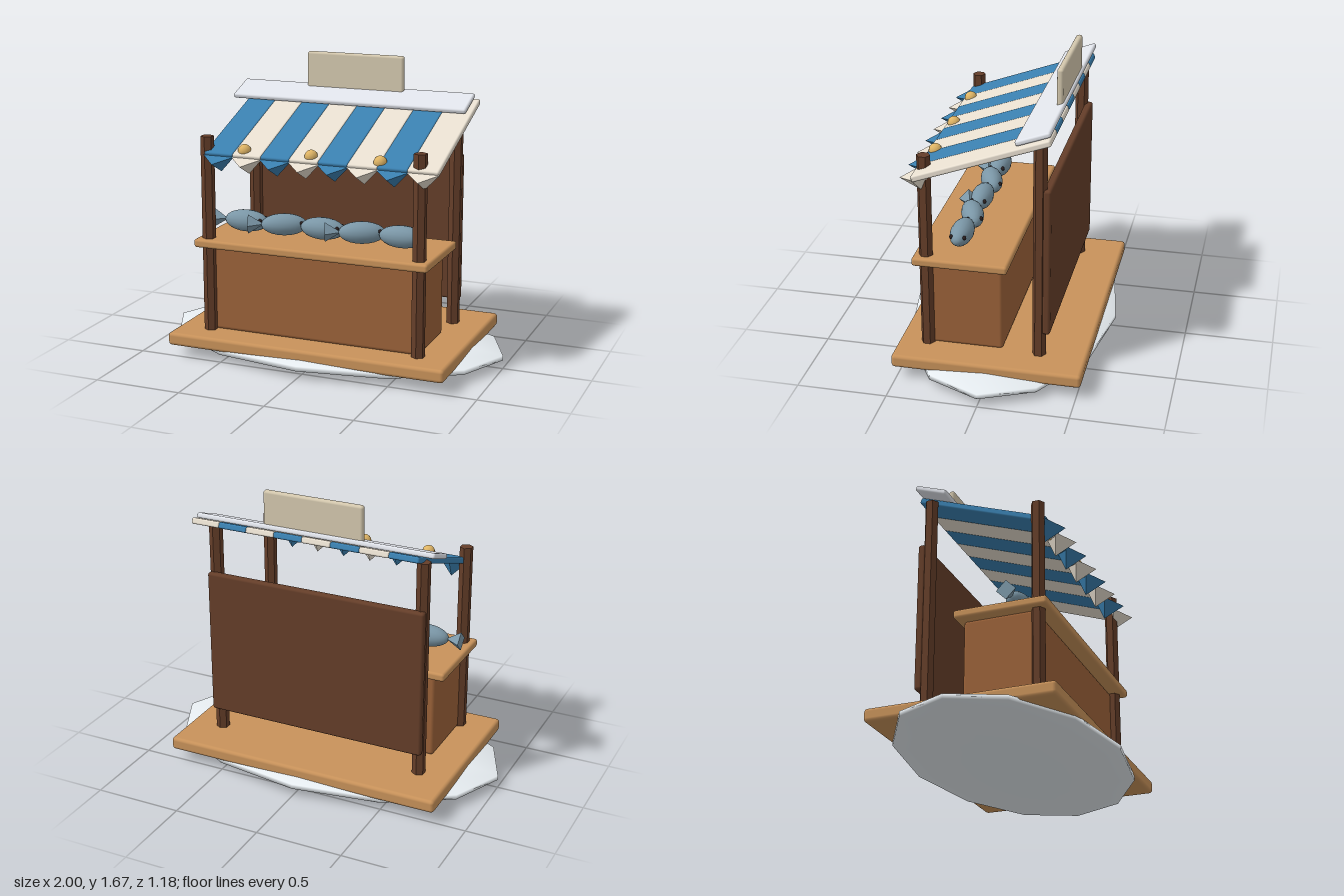
import * as THREE from 'three';
import { RoundedBoxGeometry } from 'three/addons/geometries/RoundedBoxGeometry.js';

const mat = (color, flatShading = false) => new THREE.MeshStandardMaterial({ color, flatShading });
const tan = mat(0xc8925a), wood = mat(0x9b6239), darkWood = mat(0x653e29), post = mat(0x653e29, true);
const blue = mat(0x3a80b0), cream = mat(0xe8dfd0), snow = mat(0xe6ecf0), board = mat(0xd4c8ae);
const blueFlat = mat(0x3a80b0, true), creamFlat = mat(0xe8dfd0, true), capGrey = mat(0xe0e3ea);
const gold = mat(0xe0b565), scales = mat(0x7b97a7), fin = mat(0x7b97a7, true), black = mat(0x2a2020);

function add(parent, name, geometry, material, x = 0, y = 0, z = 0) {
  const mesh = new THREE.Mesh(geometry, material);
  mesh.name = name;
  mesh.position.set(x, y, z);
  parent.add(mesh);
  return mesh;
}

const box = (w, h, d, r) => new RoundedBoxGeometry(w, h, d, 2, r);

// Fish lying along x, head towards +x
function createFish() {
  const fish = new THREE.Group();
  fish.name = 'fish';
  add(fish, 'fishBody', new THREE.SphereGeometry(1, 16, 12).rotateZ(Math.PI / 2), scales).scale.set(0.13, 0.063, 0.063);
  add(fish, 'fishTail', new THREE.ConeGeometry(0.056, 0.09, 4).rotateZ(-Math.PI / 2), fin, -0.16);
  for (const s of [-1, 1]) add(fish, 'fishEye', new THREE.SphereGeometry(0.012, 8, 6), black, 0.1, 0.015, s * 0.036);
  return fish;
}

// Sloped awning: stripes, pointed valance and ridge cap share one tilt
function createAwning() {
  const awning = new THREE.Group();
  awning.name = 'awning';
  awning.position.set(0, 1.3, 0.035);
  awning.rotation.x = 0.35;
  const pitch = 0.1695;
  for (let i = 0; i < 8; i++) {
    const x = -0.537 + i * pitch, odd = i % 2;
    add(awning, 'awningStripe', box(0.173, 0.035, 0.785, 0.01), odd ? cream : blue, x);
    const point = add(awning, 'valancePoint', new THREE.ConeGeometry(0.093, 0.1, 4), odd ? creamFlat : blueFlat, x, -0.05, 0.39);
    point.rotation.x = Math.PI;
  }
  add(awning, 'ridgeCap', box(1.414, 0.03, 0.195, 0.012), capGrey, 0, 0.035, -0.3);
  return awning;
}

export function createModel() {
  const stall = new THREE.Group();
  stall.name = 'marketStall';

  // Ground mound and platform
  add(stall, 'groundMound', new THREE.SphereGeometry(1, 12, 7), snow, 0, 0.062, 0).scale.set(1.025, 0.062, 0.605);
  add(stall, 'platform', box(1.64, 0.075, 1.05, 0.02), tan, 0, 0.105, 0);

  // Counter
  add(stall, 'counterBody', box(1.25, 0.5, 0.41, 0.02), wood, 0, 0.39, 0.146);
  add(stall, 'counterTop', box(1.38, 0.048, 0.525, 0.015), tan, 0, 0.658, 0.168);

  // Posts and back wall
  for (const s of [-1, 1]) {
    add(stall, 'frontPost', new THREE.CylinderGeometry(0.038, 0.038, 1.165, 6), post, s * 0.624, 0.6825, 0.363);
    add(stall, 'backPost', new THREE.CylinderGeometry(0.038, 0.038, 1.3, 6), post, s * 0.624, 0.75, -0.262);
  }
  add(stall, 'backPanel', box(1.31, 0.855, 0.045, 0.015), darkWood, 0, 0.705, -0.302);

  // Roof, sign board and lamps
  stall.add(createAwning());
  add(stall, 'signBoard', box(0.59, 0.235, 0.036, 0.015), board, 0, 1.552, -0.297);
  for (const x of [-0.397, 0, 0.397]) add(stall, 'lamp', new THREE.SphereGeometry(0.037, 12, 10), gold, x, 1.198, 0.36);

  // Row of fish, every second one turned
  for (let i = 0; i < 5; i++) {
    const fish = createFish();
    fish.position.set((i - 2) * 0.234, 0.757, 0.2);
    fish.rotation.y = i % 2 ? 0.35 : 0;
    stall.add(fish);
  }
  return stall;
}
